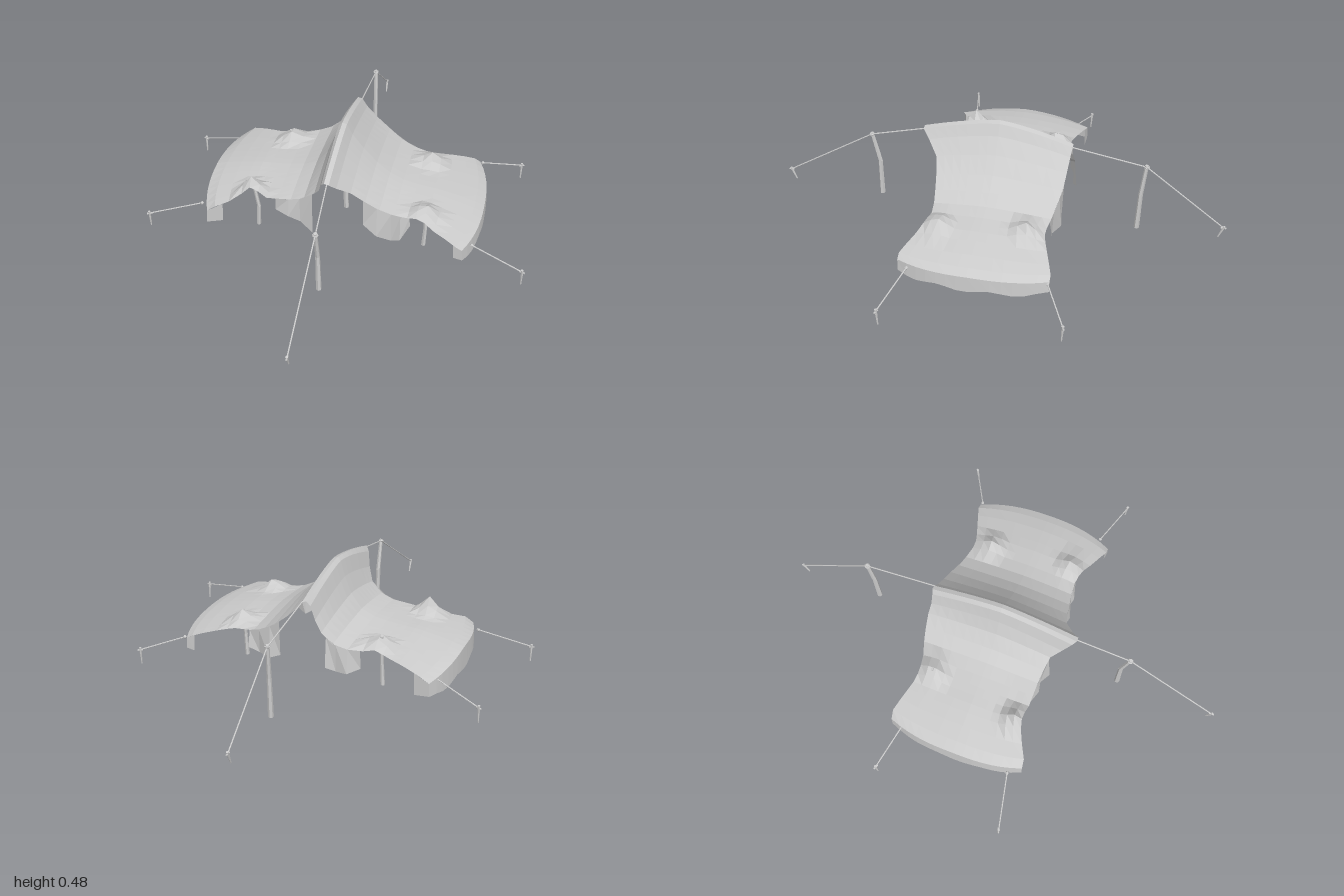
import * as THREE from 'three';

const cloth = new THREE.MeshStandardMaterial({ color: 0xcccccc, flatShading: true, side: THREE.DoubleSide });
const wood = new THREE.MeshStandardMaterial({ color: 0xcccccc, flatShading: true });
const V = (x, y, z) => new THREE.Vector3(x, y, z);

// Canopy cross-sections: x, height at middle, height at edge, front z, back z
const stations = [
  [-0.60, 0.165, 0.135, 0.30, -0.31], [-0.55, 0.18, 0.16, 0.295, -0.315], [-0.48, 0.195, 0.175, 0.265, -0.30],
  [-0.42, 0.205, 0.185, 0.24, -0.285], [-0.38, 0.21, 0.19, 0.23, -0.275], [-0.34, 0.212, 0.195, 0.23, -0.27],
  [-0.30, 0.215, 0.20, 0.235, -0.27], [-0.25, 0.22, 0.205, 0.235, -0.28], [-0.19, 0.23, 0.21, 0.235, -0.30],
  [-0.13, 0.255, 0.23, 0.24, -0.315], [-0.08, 0.32, 0.275, 0.25, -0.32], [-0.05, 0.395, 0.325, 0.29, -0.315],
  [-0.03, 0.465, 0.385, 0.325, -0.315], [-0.015, 0.48, 0.405, 0.34, -0.32], [0.005, 0.473, 0.40, 0.34, -0.32],
  [0.03, 0.425, 0.365, 0.31, -0.315], [0.08, 0.36, 0.315, 0.265, -0.31], [0.14, 0.295, 0.265, 0.25, -0.305],
  [0.20, 0.248, 0.225, 0.24, -0.29], [0.26, 0.218, 0.20, 0.23, -0.28], [0.32, 0.205, 0.19, 0.225, -0.27],
  [0.36, 0.20, 0.185, 0.23, -0.27], [0.40, 0.195, 0.18, 0.24, -0.28], [0.45, 0.185, 0.17, 0.26, -0.295],
  [0.52, 0.17, 0.155, 0.285, -0.315], [0.58, 0.152, 0.14, 0.305, -0.33], [0.62, 0.135, 0.125, 0.305, -0.33],
];

// Places where inner poles push the cloth up: x, z, lift, pole foot x, pole foot z
const peaks = [
  [-0.38, 0.20, 0.085, -0.35, 0.20], [-0.30, -0.21, 0.065, -0.31, -0.20],
  [0.39, 0.18, 0.055, 0.385, 0.18], [0.36, -0.19, 0.055, 0.345, -0.18],
];

// Point on the canopy; v runs from -1 (back edge) to 1 (front edge)
function canopyPoint(x, v) {
  let i = 0;
  while (i < stations.length - 2 && x > stations[i + 1][0]) i++;
  const a = stations[i], b = stations[i + 1];
  const t = (x - a[0]) / (b[0] - a[0]);
  const [, mid, edge, front, back] = a.map((n, k) => n + (b[k] - n) * t);
  const z = v > 0 ? v * front : -v * back;
  let y = edge + (mid - edge) * (1 - Math.abs(v) ** 1.4);
  for (const [px, pz, lift] of peaks) {
    const d = Math.hypot(x - px, z - pz);
    y += lift * Math.max(0, 1 - d / 0.085) ** 1.2;
  }
  const bow = Math.sign(x) * (Math.abs(x) / 0.6) ** 4 * 0.05 * Math.abs(v) ** 2.5;
  return V(x - bow, y, z);
}

// Surface through rows of points
function sheet(name, rows) {
  const n = rows[0].length, index = [];
  for (let r = 0; r < rows.length - 1; r++) {
    for (let c = 0; c < n - 1; c++) {
      const a = r * n + c, b = a + n;
      index.push(a, a + 1, b, b, a + 1, b + 1);
    }
  }
  const g = new THREE.BufferGeometry().setFromPoints(rows.flat());
  g.setIndex(index);
  g.computeVertexNormals();
  const m = new THREE.Mesh(g, cloth);
  m.name = name;
  return m;
}

// Straight tapered rod between two points
function rod(name, a, b, r0, r1 = r0, sides = 6) {
  const m = new THREE.Mesh(new THREE.CylinderGeometry(r1, r0, a.distanceTo(b), sides), wood);
  m.position.copy(a).add(b).multiplyScalar(0.5);
  m.quaternion.setFromUnitVectors(V(0, 1, 0), b.clone().sub(a).normalize());
  m.name = name;
  return m;
}

// Rough pole made of jointed lengths
function pole(name, points, r) {
  const g = new THREE.Group();
  g.name = name;
  for (let i = 0; i < points.length - 1; i++) {
    g.add(rod('poleLength', points[i], points[i + 1], r * (1 - i * 0.15), r * (0.85 - i * 0.15)));
  }
  return g;
}

// Leaning peg with a small notch peg on its head
function stake(top, foot) {
  const g = new THREE.Group();
  g.name = 'stake';
  const dir = V(top.x, 0, top.z).normalize().multiplyScalar(0.012);
  const neck = top.clone().lerp(foot, 0.15);
  g.add(rod('peg', foot, top, 0.003, 0.006));
  g.add(rod('notch', neck.clone().sub(dir), neck.clone().add(dir), 0.004));
  return g;
}

export function createModel() {
  const model = new THREE.Group();
  model.name = 'shelter';

  // Main cloth
  const steps = Array.from({ length: 15 }, (_, i) => -1 + i / 7);
  model.add(sheet('canopy', stations.map(s => steps.map(v => canopyPoint(s[0], v)))));

  // Hanging end strips, wrapping slightly round the corners
  for (const end of [-0.60, 0.62]) {
    const s = Math.sign(end);
    const back = s < 0 ? 0.09 : 0.055;
    const top = [canopyPoint(end - s * back, -1), ...steps.map(v => canopyPoint(end, v)), canopyPoint(end - s * back, 1)];
    const bottom = top.map((p, i) => V(p.x + s * 0.004, 0.068 + 0.008 * Math.sin(i * 1.3), p.z));
    model.add(sheet('endValance', [top, bottom]));
  }

  // Loose flaps below the long edges: side, then x and bottom height pairs
  const flaps = [
    [1, [[-0.26, 0.14], [-0.20, 0.125], [-0.15, 0.095], [-0.09, 0.065]]],
    [1, [[0.13, 0.14], [0.19, 0.09], [0.25, 0.055], [0.29, 0.075], [0.33, 0.15]]],
    [-1, [[-0.24, 0.12], [-0.19, 0.10], [-0.14, 0.10], [-0.10, 0.12]]],
    [-1, [[0.12, 0.12], [0.17, 0.10], [0.23, 0.10], [0.28, 0.12]]],
  ];
  for (const [side, pts] of flaps) {
    const top = pts.map(([x]) => canopyPoint(x, side));
    const bottom = pts.map(([x, y], i) => V(x, y, top[i].z + side * (i % 2 ? 0.012 : -0.005)));
    model.add(sheet('sideFlap', [top, bottom]));
  }

  // Inner poles
  for (const [px, pz, , fx, fz] of peaks) {
    const h = canopyPoint(px, pz > 0 ? 0.8 : -0.75).y - 0.01;
    model.add(pole('innerPole', [V(fx, 0.02, fz), V(fx + 0.005, 0.12, fz), V((px + fx) / 2, h, pz)], 0.01));
  }
  model.add(pole('centrePole', [V(0.003, 0.02, 0), V(-0.004, 0.24, 0), V(-0.006, 0.468, 0)], 0.012));

  // End poles with their knots, ridge ropes and stakes
  const ends = [
    { foot: V(0.01, 0.02, 0.55), knee: V(0.008, 0.2, 0.55), top: V(0.008, 0.345, 0.58), ridge: V(-0.005, 0.395, 0.335), peg: V(-0.003, 0.08, 0.997), ground: V(-0.003, 0.02, 0.975) },
    { foot: V(0.008, 0.02, -0.62), knee: V(0.008, 0.2, -0.625), top: V(0.004, 0.355, -0.64), ridge: V(0.005, 0.40, -0.315), peg: V(-0.003, 0.08, -0.997), ground: V(-0.003, 0.02, -0.975) },
  ];
  for (const e of ends) {
    model.add(pole('endPole', [e.foot, e.knee, e.top], 0.012));
    const knotAt = e.top.clone().setY(e.top.y - 0.008);
    const knot = new THREE.Mesh(new THREE.TorusGeometry(0.009, 0.004, 5, 8), wood);
    knot.name = 'ropeKnot';
    knot.rotation.x = Math.PI / 2 + 0.2;
    knot.position.copy(knotAt);
    model.add(knot, rod('ridgeRope', e.ridge, knotAt, 0.003), rod('ridgeRope', knotAt, e.peg.clone().setY(0.07), 0.003));
    model.add(stake(e.peg, e.ground));
  }

  // Corner ropes: attachment point, stake x and z
  const corners = [
    [V(0.60, 0.12, 0.255), 0.82, 0.318], [V(0.575, 0.125, -0.325), 0.75, -0.42],
    [V(-0.59, 0.13, 0.247), -0.823, 0.298], [V(-0.545, 0.14, -0.25), -0.76, -0.303],
  ];
  for (const [from, x, z] of corners) {
    const top = V(x, 0.08, z);
    model.add(rod('cornerRope', from, V(x, 0.07, z), 0.003));
    model.add(stake(top, V(x, 0, z - Math.sign(z) * 0.004)));
    const eyelet = new THREE.Mesh(new THREE.IcosahedronGeometry(0.008, 0), wood);
    eyelet.name = 'eyelet';
    eyelet.position.copy(from);
    model.add(eyelet);
  }
  return model;
}
